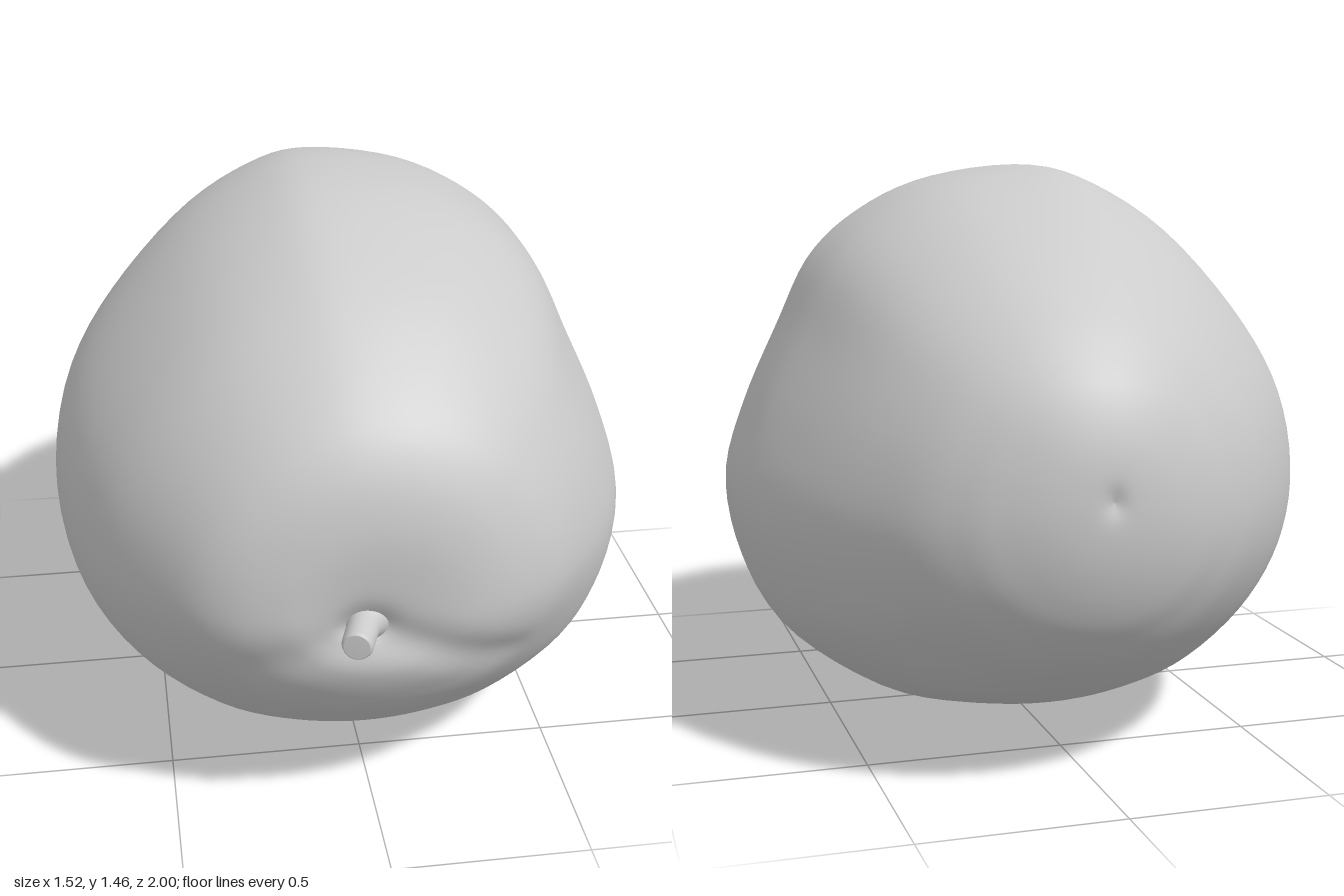
import * as THREE from 'three';

// Cross-section at the middle of the fruit, seen from the front, starting at the top
const SECTION = [
  [-0.04, 1.46], [0.2, 1.425], [0.38, 1.34], [0.51, 1.22], [0.6, 1.04], [0.7, 0.82], [0.755, 0.62],
  [0.72, 0.41], [0.62, 0.23], [0.4, 0.07], [0.2, 0.015], [0, 0], [-0.2, 0.025], [-0.4, 0.09],
  [-0.6, 0.245], [-0.72, 0.43], [-0.76, 0.64], [-0.72, 0.87], [-0.6, 1.08], [-0.4, 1.3], [-0.2, 1.425],
];
// Extents along the length, back to front: z, left, right, bottom, top
const ROWS = [
  [-0.988, 0.04, 0.04, 0.73, 0.73], [-0.998, -0.01, 0.09, 0.67, 0.79], [-0.984, -0.1, 0.18, 0.57, 0.88],
  [-0.95, -0.19, 0.27, 0.47, 0.97], [-0.9, -0.275, 0.36, 0.39, 1.04], [-0.8, -0.4, 0.47, 0.29, 1.14],
  [-0.6, -0.565, 0.605, 0.16, 1.29], [-0.4, -0.67, 0.695, 0.085, 1.385], [-0.2, -0.735, 0.745, 0.035, 1.44],
  [0, -0.76, 0.755, 0.004, 1.46], [0.2, -0.75, 0.745, 0.006, 1.45], [0.4, -0.71, 0.695, 0.05, 1.4],
  [0.6, -0.63, 0.6, 0.15, 1.31], [0.8, -0.49, 0.45, 0.31, 1.16], [0.89, -0.38, 0.33, 0.42, 1.04],
  [0.928, -0.25, 0.2, 0.51, 0.9], [0.924, -0.15, 0.05, 0.58, 0.75], [0.905, -0.1, -0.02, 0.62, 0.68],
  [0.89, -0.06, -0.06, 0.645, 0.645],
];
// Shallow creases running out from the stem: start, end, depth, width
const CREASES = [
  [[0.0, 0.62], [0.3, 0.5], 0.018, 0.055],
  [[-0.12, 0.61], [-0.3, 0.54], 0.01, 0.06],
];

// How far the front face sinks in: the creases, and the lower half leaning back
function frontDepth(x, y) {
  const p = new THREE.Vector3(x, y, 0), q = new THREE.Vector3();
  let depth = 0.018 * (1 - THREE.MathUtils.smoothstep(y, 0.42, 0.68));
  for (const [a, b, d, w] of CREASES) {
    const line = new THREE.Line3(new THREE.Vector3(...a, 0), new THREE.Vector3(...b, 0));
    line.closestPointToPoint(p, true, q);
    depth += d * Math.exp(-((p.distanceTo(q) / w) ** 2));
  }
  return depth;
}

// The same section point moved onto a plain oval
function ovalPoint(p) {
  const rx = 0.757, ry = p.y > 0.66 ? 0.8 : 0.66;
  const nx = p.x / rx, ny = (p.y - 0.66) / ry, len = Math.hypot(nx, ny);
  return new THREE.Vector3((nx / len) * rx, 0.66 + (ny / len) * ry, 0);
}

function fruitGeometry(around = 96, steps = 108) {
  const smooth = (pts, closed) => new THREE.CatmullRomCurve3(pts, closed, 'catmullrom', 0.5);
  const section = smooth(SECTION.map(([x, y]) => new THREE.Vector3(x, y, 0)), true);
  const widths = smooth(ROWS.map(r => new THREE.Vector3(r[1], r[2], r[0])), false);
  const heights = smooth(ROWS.map(r => new THREE.Vector3(r[3], r[4], r[0])), false);
  const ring = Array.from({ length: around }, (_, j) => section.getPoint(j / around));
  const oval = ring.map(ovalPoint);
  const positions = [], index = [];
  for (let i = 0; i <= steps; i++) {
    const w = widths.getPoint(i / steps), h = heights.getPoint(i / steps);
    // The three-sided section rounds off toward both ends
    const round = 0.85 * THREE.MathUtils.smoothstep(Math.abs(w.z), 0.25, 0.95);
    for (let j = 0; j < around; j++) {
      const p = ring[j].clone().lerp(oval[j], round);
      const x = THREE.MathUtils.mapLinear(p.x, -0.76, 0.755, w.x, w.y);
      const y = THREE.MathUtils.mapLinear(p.y, 0, 1.46, h.x, h.y);
      const front = THREE.MathUtils.smoothstep(w.z, 0.5, 0.85);
      positions.push(x, y, w.z - front * frontDepth(x, y));
      if (i === steps) continue;
      const k = (j + 1) % around;
      const a = i * around + j, b = i * around + k, c = a + around, d = b + around;
      if (i < steps - 1) index.push(a, c, d);
      else index.push(a, c, b);
      if (i > 0 && i < steps - 1) index.push(a, d, b);
    }
  }
  const geo = new THREE.BufferGeometry();
  geo.setAttribute('position', new THREE.Float32BufferAttribute(positions, 3));
  geo.setIndex(index);
  geo.computeVertexNormals();
  return geo;
}

export function createModel() {
  const group = new THREE.Group();
  const material = new THREE.MeshStandardMaterial({ color: 0xcccccc });

  const fruit = new THREE.Mesh(fruitGeometry(), material);
  fruit.name = 'fruitBody';
  group.add(fruit);

  // Short stem stub, flared at the base and cut flat at the tip
  const profile = [[0.055, 0], [0.044, 0.02], [0.038, 0.04], [0.037, 0.108], [0.033, 0.117], [0.03, 0.118], [0, 0.118]];
  const stem = new THREE.Mesh(
    new THREE.LatheGeometry(profile.map(([r, y]) => new THREE.Vector2(r, y)), 24), material);
  stem.name = 'stem';
  const base = new THREE.Vector3(-0.05, 0.645, 0.878);
  const tip = new THREE.Vector3(-0.088, 0.645, 0.99);
  stem.position.copy(base);
  stem.quaternion.setFromUnitVectors(new THREE.Vector3(0, 1, 0), tip.sub(base).normalize());
  group.add(stem);

  return group;
}
